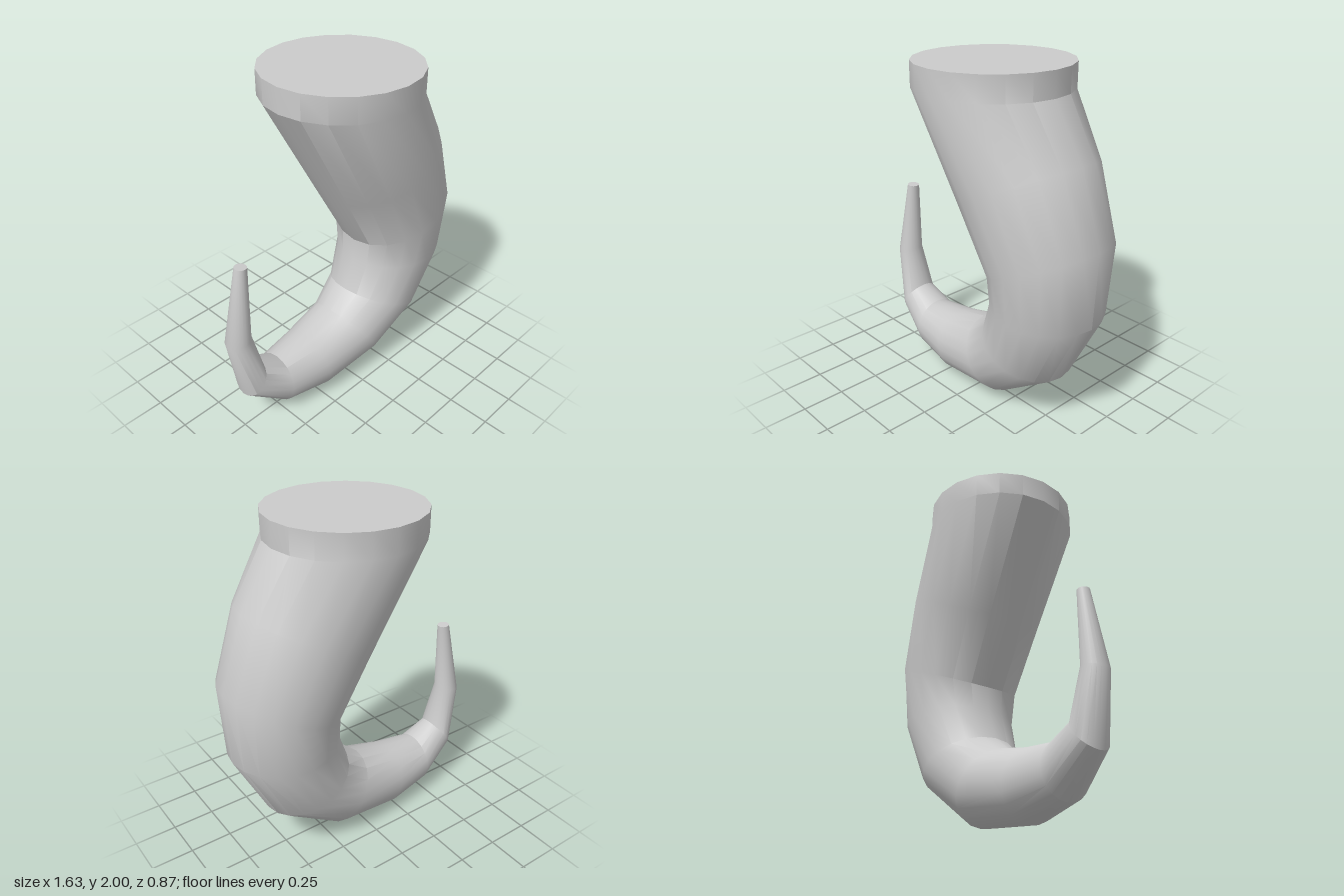
import * as THREE from 'three';
import { toCreasedNormals } from 'three/addons/utils/BufferGeometryUtils.js';

const SIDES = 20;

// Each round section spans from a point on the outer bend to one on the inner bend:
// [outerX, outerY, innerX, innerY]
const SECTIONS = [
  [0.485, 2.0, -0.385, 2.0],
  [0.485, 1.86, -0.385, 1.86],
  [0.675, 1.56, -0.03, 1.225],
  [0.815, 1.15, 0.17, 0.87],
  [0.795, 0.71, 0.165, 0.73],
  [0.6, 0.315, 0.095, 0.54],
  [0.23, 0.06, -0.03, 0.445],
  [-0.2, 0.005, -0.27, 0.39],
  [-0.5, 0.06, -0.48, 0.365],
  [-0.74, 0.255, -0.61, 0.435],
  [-0.815, 0.65, -0.67, 0.68],
  [-0.72, 1.12, -0.65, 1.115],
];

// Lofts circles through the sections and closes both ends
function loftHorn(sections) {
  const positions = [];
  const index = [];
  for (const [ox, oy, ix, iy] of sections) {
    const cx = (ox + ix) / 2, cy = (oy + iy) / 2;
    const hx = (ox - ix) / 2, hy = (oy - iy) / 2;
    const radius = Math.hypot(hx, hy);
    for (let j = 0; j < SIDES; j++) {
      const a = (j / SIDES) * Math.PI * 2;
      positions.push(cx + hx * Math.cos(a), cy + hy * Math.cos(a), radius * Math.sin(a));
    }
  }

  // Side walls
  for (let i = 0; i < sections.length - 1; i++) {
    for (let j = 0; j < SIDES; j++) {
      const k = (j + 1) % SIDES;
      const a = i * SIDES + j, b = i * SIDES + k;
      index.push(a, b, a + SIDES, b, b + SIDES, a + SIDES);
    }
  }

  // Flat base and blunt tip
  const last = sections.length - 1;
  for (const ring of [0, last]) {
    const [ox, oy, ix, iy] = sections[ring];
    const centre = positions.length / 3;
    positions.push((ox + ix) / 2, (oy + iy) / 2, 0);
    for (let j = 0; j < SIDES; j++) {
      const a = ring * SIDES + j, b = ring * SIDES + ((j + 1) % SIDES);
      if (ring === 0) index.push(centre, b, a);
      else index.push(centre, a, b);
    }
  }

  const geometry = new THREE.BufferGeometry();
  geometry.setAttribute('position', new THREE.Float32BufferAttribute(positions, 3));
  geometry.setIndex(index);
  return toCreasedNormals(geometry, 0.5);
}

export function createModel() {
  const group = new THREE.Group();
  group.name = 'curvedHorn';
  const horn = new THREE.Mesh(
    loftHorn(SECTIONS),
    new THREE.MeshStandardMaterial({ color: 0xcccccc })
  );
  horn.name = 'horn';
  group.add(horn);
  return group;
}
